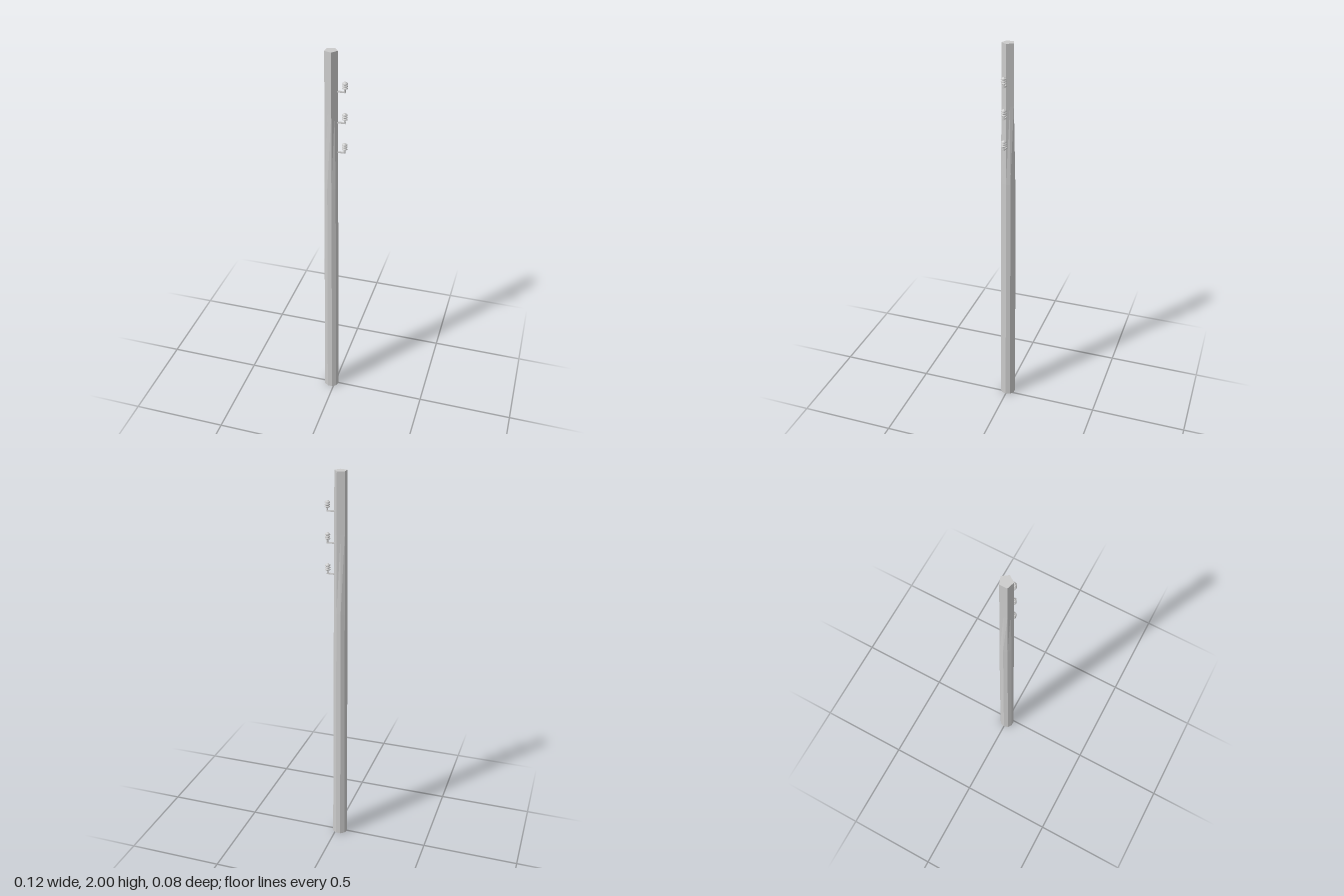
import * as THREE from 'three';

const POLE_X = -0.0195;
const INSULATOR_X = 0.047;

// Tapered ten-sided shaft that becomes five-sided near the top.
function poleGeometry() {
  const sides = 10;
  // [height, radius, how far alternate corners are drawn in to a pentagon]
  const rings = [[0, 0.041, 0], [0.3, 0.0397, 0], [0.8, 0.0375, 0], [1.3, 0.0352, 0], [1.7, 0.0328, 1], [2, 0.032, 1]];
  const positions = [];
  const index = [];
  for (const [y, r, pinch] of rings) {
    for (let i = 0; i < sides; i++) {
      const a = (i / sides) * Math.PI * 2;
      const inset = i % 2 ? THREE.MathUtils.lerp(1, Math.cos(Math.PI / 5), pinch) : 1;
      positions.push(Math.cos(a) * r * inset, y, Math.sin(a) * r * inset);
    }
  }
  for (let k = 0; k < rings.length - 1; k++) {
    for (let i = 0; i < sides; i++) {
      const a = k * sides + i;
      const b = k * sides + ((i + 1) % sides);
      index.push(a, a + sides, b, b, a + sides, b + sides);
    }
  }
  // End caps
  const top = (rings.length - 1) * sides;
  const base = positions.length / 3;
  positions.push(0, 0, 0, 0, 2, 0);
  for (let i = 0; i < sides; i++) {
    const j = (i + 1) % sides;
    index.push(base, i, j, base + 1, top + j, top + i);
  }
  const geometry = new THREE.BufferGeometry();
  geometry.setAttribute('position', new THREE.Float32BufferAttribute(positions, 3));
  geometry.setIndex(index);
  geometry.computeVertexNormals();
  return geometry;
}

// Stem with three rounded sheds, measured from the arm.
function insulatorGeometry() {
  const profile = [[0, 0], [0.004, 0], [0.004, 0.016]];
  for (let i = 0; i < 3; i++) {
    const y = 0.016 + i * 0.011;
    profile.push([0.008, y], [0.0135, y + 0.003], [0.0125, y + 0.007], [0.008, y + 0.0095]);
  }
  profile.push([0.005, 0.051], [0, 0.051]);
  return new THREE.LatheGeometry(profile.map(([r, y]) => new THREE.Vector2(r, y)), 12);
}

export function createModel() {
  const model = new THREE.Group();
  const material = new THREE.MeshStandardMaterial({ color: 0xcccccc, flatShading: true });
  const add = (parent, name, geometry, x, y) => {
    const mesh = new THREE.Mesh(geometry, material);
    mesh.name = name;
    mesh.position.set(x, y, 0);
    parent.add(mesh);
  };

  add(model, 'pole', poleGeometry(), POLE_X, 0);

  // Three insulators on short side arms
  const armStart = 0.005;
  const armLength = INSULATOR_X + 0.004 - armStart;
  const arm = new THREE.BoxGeometry(armLength, 0.006, 0.009);
  const insulator = insulatorGeometry();
  for (const y of [1.803, 1.648, 1.493]) {
    const bracket = new THREE.Group();
    bracket.name = 'insulatorBracket';
    bracket.position.y = y;
    add(bracket, 'arm', arm, armStart + armLength / 2, 0.003);
    add(bracket, 'insulator', insulator, INSULATOR_X, 0.002);
    model.add(bracket);
  }
  return model;
}
